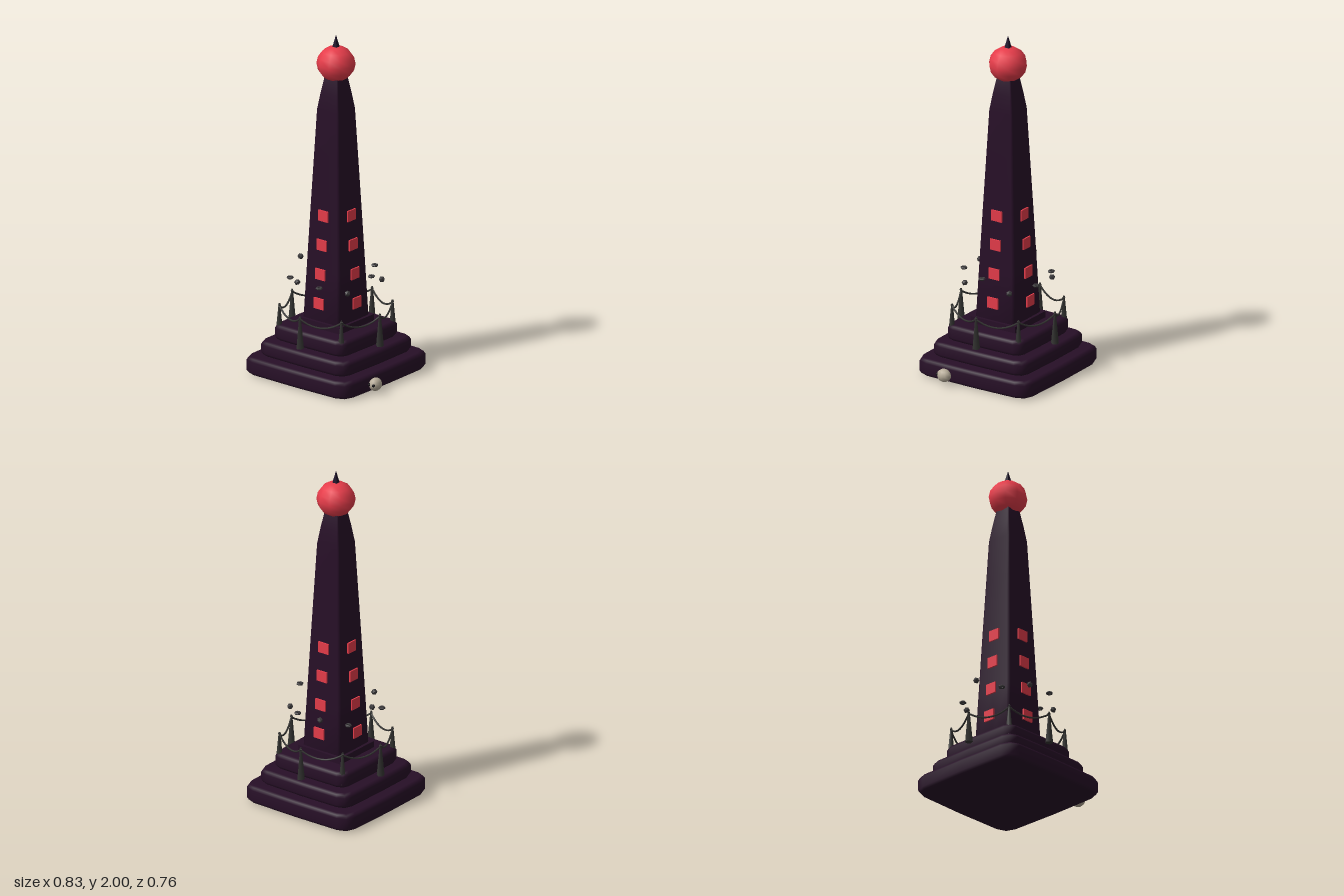
import * as THREE from 'three';

const mat = (name, color, extra = {}) => Object.assign(new THREE.MeshStandardMaterial({ color, ...extra }), { name });

// Slightly bowed square with chamfered corners: one corner pattern turned four times
function outline(h, corner) {
  const c = h * corner;
  const side = [[h, 0], [h * 0.985, h - c], [h - c * 0.33, h - c * 0.33], [h - c, h * 0.985]];
  const pts = [];
  for (let k = 0; k < 4; k++) {
    const co = Math.round(Math.cos(k * Math.PI / 2)), si = Math.round(Math.sin(k * Math.PI / 2));
    side.forEach(([x, z]) => pts.push([x * co - z * si, x * si + z * co]));
  }
  return pts;
}

// Closed smooth loft through [height, half width] levels
function loft(levels, corner) {
  const pos = [], idx = [], n = 16;
  levels.forEach(([y, h]) => outline(h, corner).forEach(([x, z]) => pos.push(x, y, z)));
  const last = levels.length - 1;
  pos.push(0, levels[0][0], 0, 0, levels[last][0], 0);
  const bottom = n * levels.length, top = bottom + 1;
  for (let i = 0; i < n; i++) {
    const j = (i + 1) % n;
    for (let l = 0; l < last; l++) {
      const a = l * n + i, b = l * n + j;
      idx.push(a, a + n, b, b, a + n, b + n);
    }
    idx.push(bottom, i, j, top, last * n + j, last * n + i);
  }
  const g = new THREE.BufferGeometry();
  g.setAttribute('position', new THREE.Float32BufferAttribute(pos, 3));
  g.setIndex(idx);
  g.computeVertexNormals();
  return g;
}

export function createModel() {
  const stone = mat('dark purple stone', 0x270f27);
  const red = mat('glowing red', 0xe63c4a);
  const iron = mat('dark iron', 0x343432);
  const rock = mat('grey rock', 0x3c3a3c, { flatShading: true });
  const bone = mat('bone', 0xb8ad9a);
  const black = mat('socket black', 0x141214);
  const tip = mat('spike', 0x1c1029, { flatShading: true });

  const model = new THREE.Group();
  model.name = 'tower';
  const tower = new THREE.Group();
  tower.name = 'monument';
  tower.position.x = -0.033;
  model.add(tower);

  const add = (name, geo, material, parent, x = 0, y = 0, z = 0) => {
    const m = new THREE.Mesh(geo, material);
    m.name = name;
    m.position.set(x, y, z);
    parent.add(m);
    return m;
  };

  // Three stepped, rounded tiers
  [[0, 0.105, 0.382], [0.105, 0.195, 0.32], [0.195, 0.29, 0.26]].forEach(([y0, y1, h], i) => {
    const r = 0.022;
    add('tier' + (i + 1), loft([[y0, h - r], [y0 + 0.007, h - 0.008], [y0 + r, h],
      [y1 - r, h], [y1 - 0.007, h - 0.008], [y1, h - r]], 0.21), stone, tower);
  });

  // Plinth and tapering shaft
  add('plinth', new THREE.BoxGeometry(0.302, 0.04, 0.302), stone, tower, 0, 0.308, 0);
  add('shaft', loft([[0.28, 0.137], [0.62, 0.122], [0.98, 0.106], [1.3, 0.091], [1.56, 0.079],
    [1.66, 0.064], [1.75, 0.048], [1.8, 0.02]], 0.14), stone, tower);

  // Orb and square spike
  const orb = add('orb', new THREE.SphereGeometry(0.11, 10, 8), red, tower, 0, 1.83, 0);
  orb.scale.y = 0.93;
  const spike = new THREE.ConeGeometry(0.026, 0.09, 4);
  spike.rotateY(Math.PI / 4);
  add('spike', spike, tip, tower, 0, 1.955, 0);

  // Four columns of window panels
  const pane = new THREE.BoxGeometry(0.07, 0.064, 0.009);
  for (let s = 0; s < 4; s++) {
    const face = new THREE.Group();
    face.name = 'windowColumn' + (s + 1);
    face.rotation.y = s * Math.PI / 2;
    tower.add(face);
    for (let k = 0; k < 4; k++) add('window', pane, red, face, 0, 0.44 + k * 0.17, 0.152 - k * 0.0135);
  }

  // Ring of pointed posts joined by sagging chains
  const at = (a, r, y) => new THREE.Vector3(Math.cos(a) * r, y, Math.sin(a) * r);
  const post = new THREE.CylinderGeometry(0.005, 0.023, 0.19, 5);
  const knob = new THREE.OctahedronGeometry(0.011);
  for (let i = 0; i < 8; i++) {
    const a = i * Math.PI / 4, b = a + Math.PI / 4;
    const p = at(a, 0.318, 0.315), q = at(a, 0.318, 0.4);
    add('fencePost', post, iron, tower, p.x, p.y, p.z).rotation.y = -a;
    add('postTip', knob, iron, tower, q.x, q.y, q.z);
    const end = at(b, 0.318, 0.395), start = at(a, 0.318, 0.395), pts = [];
    for (let k = 0; k <= 6; k++) {
      const t = k / 6, v = start.clone().lerp(end, t);
      v.y -= 0.042 * 4 * t * (1 - t);
      pts.push(v);
    }
    add('chain', new THREE.TubeGeometry(new THREE.CatmullRomCurve3(pts), 10, 0.0055, 5), iron, tower);
  }

  // Hovering stones, alternately rings and pebbles
  const ring = new THREE.TorusGeometry(0.014, 0.007, 5, 6);
  ring.rotateX(Math.PI / 2);
  const pebble = new THREE.IcosahedronGeometry(0.018, 0);
  for (let i = 0; i < 10; i++) {
    const heights = [0.62, 0.548, 0.576, 0.576, 0.548];
    const p = at(i * Math.PI / 5, 0.257, heights[i % 5]);
    const m = add(i % 2 ? 'pebble' : 'stoneRing', i % 2 ? pebble : ring, rock, tower, p.x, p.y, p.z);
    m.rotation.y = -i * Math.PI / 5;
  }

  // Small skull beside the lowest tier
  const skull = new THREE.Group();
  skull.name = 'skull';
  skull.position.set(0.379, 0.056, 0.152);
  model.add(skull);
  add('cranium', new THREE.SphereGeometry(1, 10, 8), bone, skull).scale.set(0.034, 0.038, 0.043);
  for (const s of [-1, 1]) {
    add('eyeSocket', new THREE.SphereGeometry(0.009, 8, 6), black, skull, s * 0.014, 0.004, 0.036);
  }
  return model;
}
